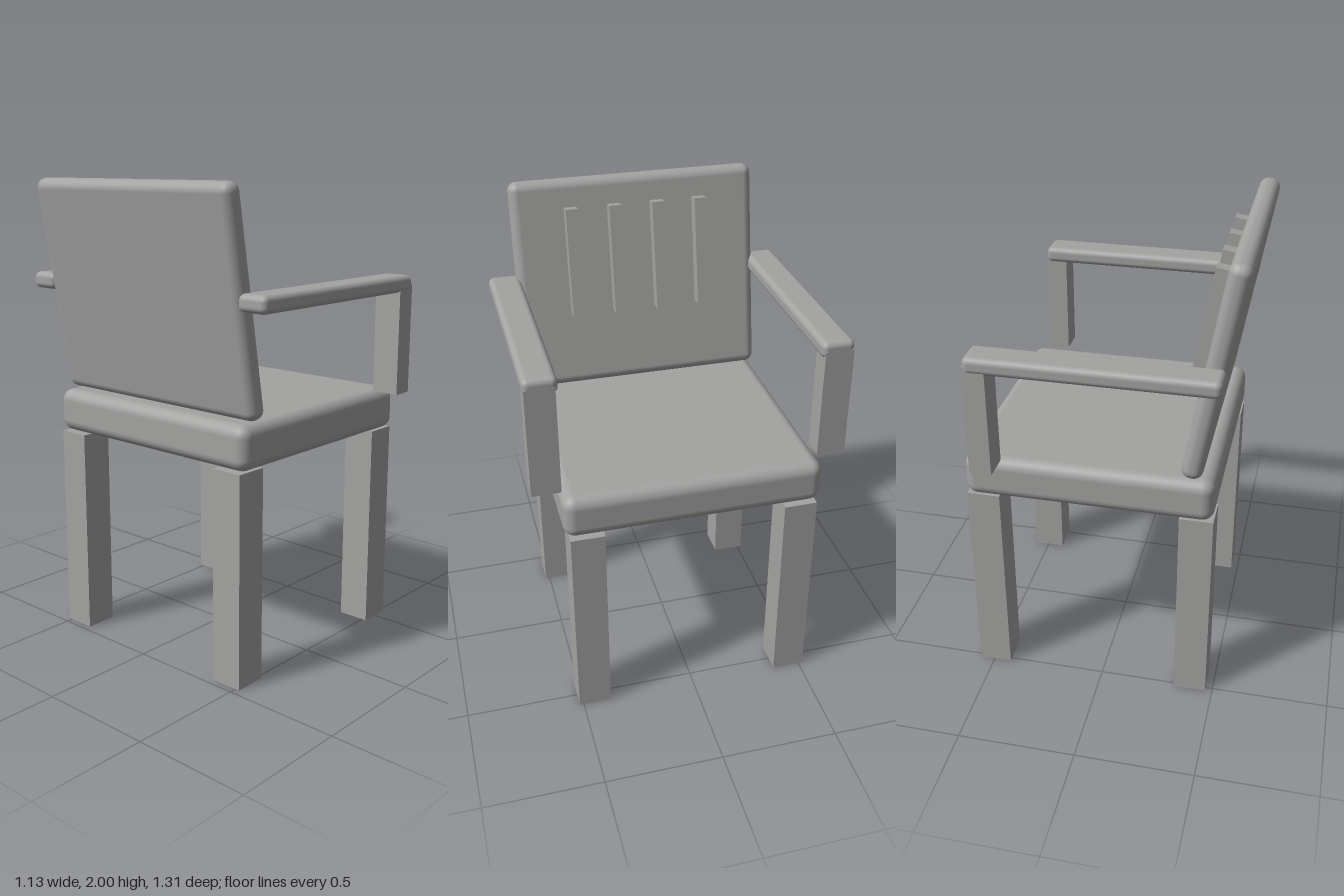
import * as THREE from 'three';
import { RoundedBoxGeometry } from 'three/addons/geometries/RoundedBoxGeometry.js';

export function createModel() {
  const model = new THREE.Group();
  model.name = 'armchair';
  const grey = new THREE.MeshStandardMaterial({ color: 0xa3a3a2 });
  grey.name = 'grey';

  // Places a box (rounded when radius > 0) by its centre and size
  function addBox(name, size, centre, radius = 0, parent = model) {
    const geometry = radius
      ? new RoundedBoxGeometry(...size, 5, radius)
      : new THREE.BoxGeometry(...size);
    const mesh = new THREE.Mesh(geometry, grey);
    mesh.name = name;
    mesh.position.set(...centre);
    parent.add(mesh);
    return mesh;
  }

  // Seat cushion, with the chair facing +x
  addBox('seat', [1.035, 0.186, 1.08], [0.047, 0.995, 0], 0.05);

  for (const side of [1, -1]) {
    const label = side > 0 ? 'Left' : 'Right';
    // Square legs
    addBox('rearLeg' + label, [0.14, 0.9, 0.14], [-0.4, 0.45, side * 0.449]);
    addBox('frontLeg' + label, [0.14, 0.9, 0.14], [0.494, 0.45, side * 0.449]);
    // Armrest and its front post
    addBox('armrest' + label, [0.985, 0.07, 0.137], [-0.002, 1.563, side * 0.588], 0.025);
    addBox('armPost' + label, [0.09, 0.47, 0.12], [0.446, 1.325, side * 0.592]);
  }

  // Reclined backrest: its group carries the tilt
  const back = new THREE.Group();
  back.name = 'backrest';
  back.position.set(-0.449, 1.548, 0);
  back.rotation.z = THREE.MathUtils.degToRad(10);
  model.add(back);
  addBox('backPanel', [0.088, 0.918, 1.08], [0, 0, 0], 0.04, back);

  // Four raised slats on the inner face
  for (let i = 0; i < 4; i++) {
    addBox('backSlat' + (i + 1), [0.062, 0.472, 0.055], [0.07, 0.104, (i - 1.5) * 0.19], 0, back);
  }

  return model;
}
